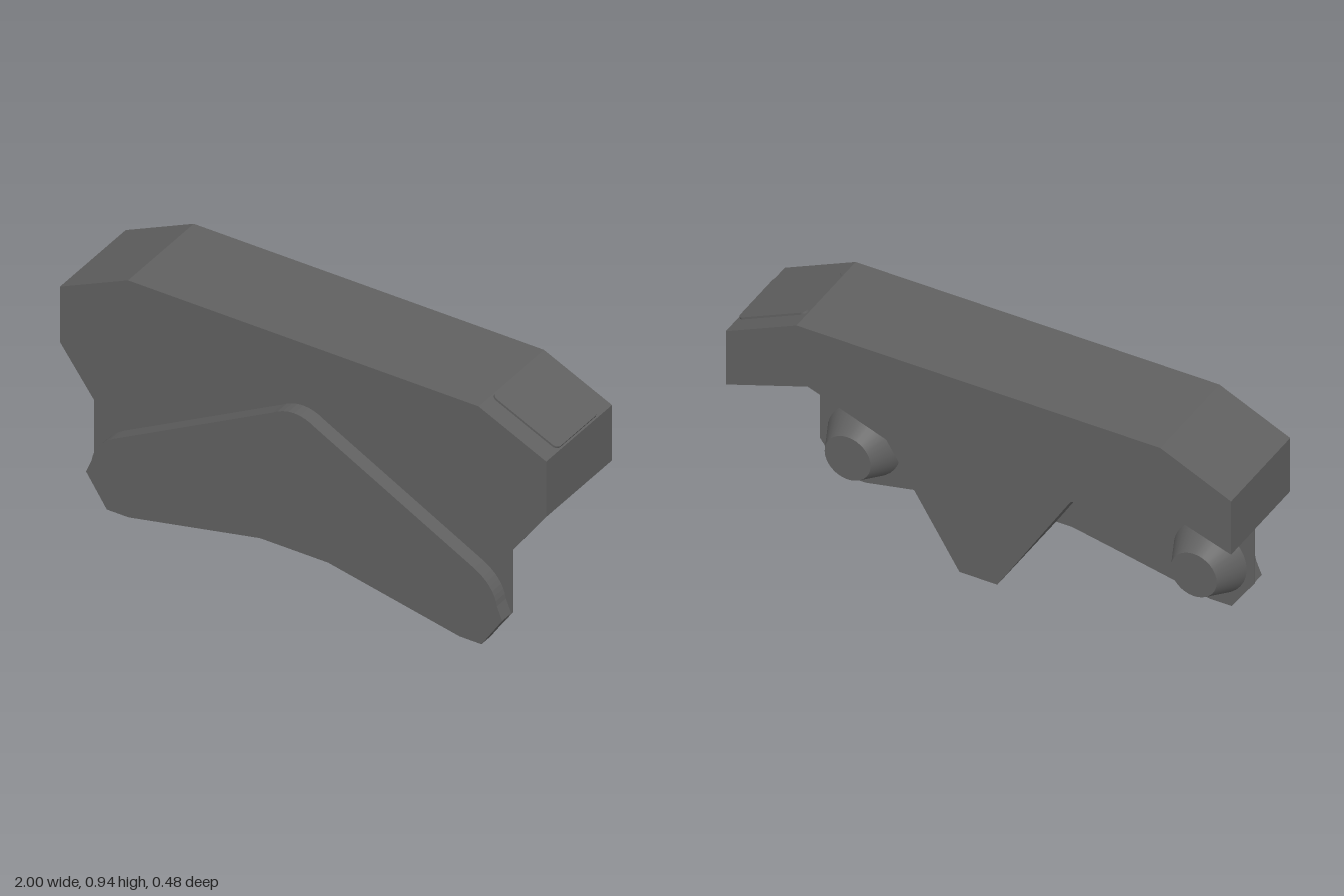
import * as THREE from 'three';

const housingGrey = new THREE.MeshStandardMaterial({ color: 0x606060 });
housingGrey.name = 'housing grey';

// Extrude a shape between two z planes
function slab(name, shape, z0, z1) {
  const geo = new THREE.ExtrudeGeometry(shape, { depth: z1 - z0, bevelEnabled: false, curveSegments: 8 });
  geo.translate(0, 0, z0);
  const mesh = new THREE.Mesh(geo, housingGrey);
  mesh.name = name;
  return mesh;
}

// Closed symmetric outline from its +x half, listed top to bottom
function mirrored(half) {
  const left = half.map(([x, y]) => [-x, y]).reverse();
  return new THREE.Shape([...half, ...left].map(([x, y]) => new THREE.Vector2(x, y)));
}

function roundedRect(w, h, r) {
  const s = new THREE.Shape();
  const a = w / 2, b = h / 2;
  s.absarc(a - r, b - r, r, 0, Math.PI / 2);
  s.absarc(-a + r, b - r, r, Math.PI / 2, Math.PI);
  s.absarc(-a + r, -b + r, r, Math.PI, Math.PI * 1.5);
  s.absarc(a - r, -b + r, r, Math.PI * 1.5, Math.PI * 2);
  return s;
}

export function createModel() {
  const group = new THREE.Group();
  group.name = 'housing';

  // Deep body with an arched underside and a central foot
  group.add(slab('body', mirrored([
    [0.72, 0.938], [1, 0.81], [1, 0.58], [0.675, 0.69], [0.365, 0.575], [0.075, 0.11],
  ]), -0.238, 0.177));

  // Thin face sheet carrying the full front outline
  const foot = [[0.86, 0.13], [0.77, 0.003], [0.68, 0.003], [0.14, 0.11]];
  group.add(slab('faceSheet', mirrored([
    [0.72, 0.938], [1, 0.81], [1, 0.58], [0.86, 0.39], ...foot,
  ]), 0.177, 0.18));

  // Raised chevron plate with softened apex and shoulders
  const chevron = new THREE.Shape();
  chevron.moveTo(-0.09, 0.65);
  chevron.bezierCurveTo(-0.03, 0.69, 0.03, 0.69, 0.09, 0.65);
  chevron.lineTo(0.74, 0.305);
  chevron.quadraticCurveTo(0.82, 0.26, 0.833, 0.18);
  chevron.lineTo(0.855, 0.127);
  chevron.lineTo(0.77, 0);
  chevron.lineTo(0.68, 0);
  chevron.lineTo(0.14, 0.11);
  chevron.lineTo(-0.14, 0.11);
  chevron.lineTo(-0.68, 0);
  chevron.lineTo(-0.77, 0);
  chevron.lineTo(-0.855, 0.127);
  chevron.lineTo(-0.833, 0.18);
  chevron.quadraticCurveTo(-0.82, 0.26, -0.74, 0.305);
  group.add(slab('chevronPlate', chevron, 0.178, 0.238));

  // Tapered pegs on the back of the sheet
  for (const side of [-1, 1]) {
    const geo = new THREE.CylinderGeometry(0.145, 0.091, 0.117, 32);
    geo.rotateX(Math.PI / 2);
    const peg = new THREE.Mesh(geo, housingGrey);
    peg.name = side > 0 ? 'leftPeg' : 'rightPeg';
    peg.position.set(side * 0.685, 0.18, 0.1195);
    group.add(peg);
  }

  // Low button lying on the left chamfer
  const button = slab('button', roundedRect(0.296, 0.268, 0.022), 0, 0.008);
  button.geometry.rotateX(-Math.PI / 2);
  button.rotation.z = -Math.atan2(0.128, 0.28);
  button.position.set(0.859, 0.8745, -0.03);
  group.add(button);

  return group;
}
